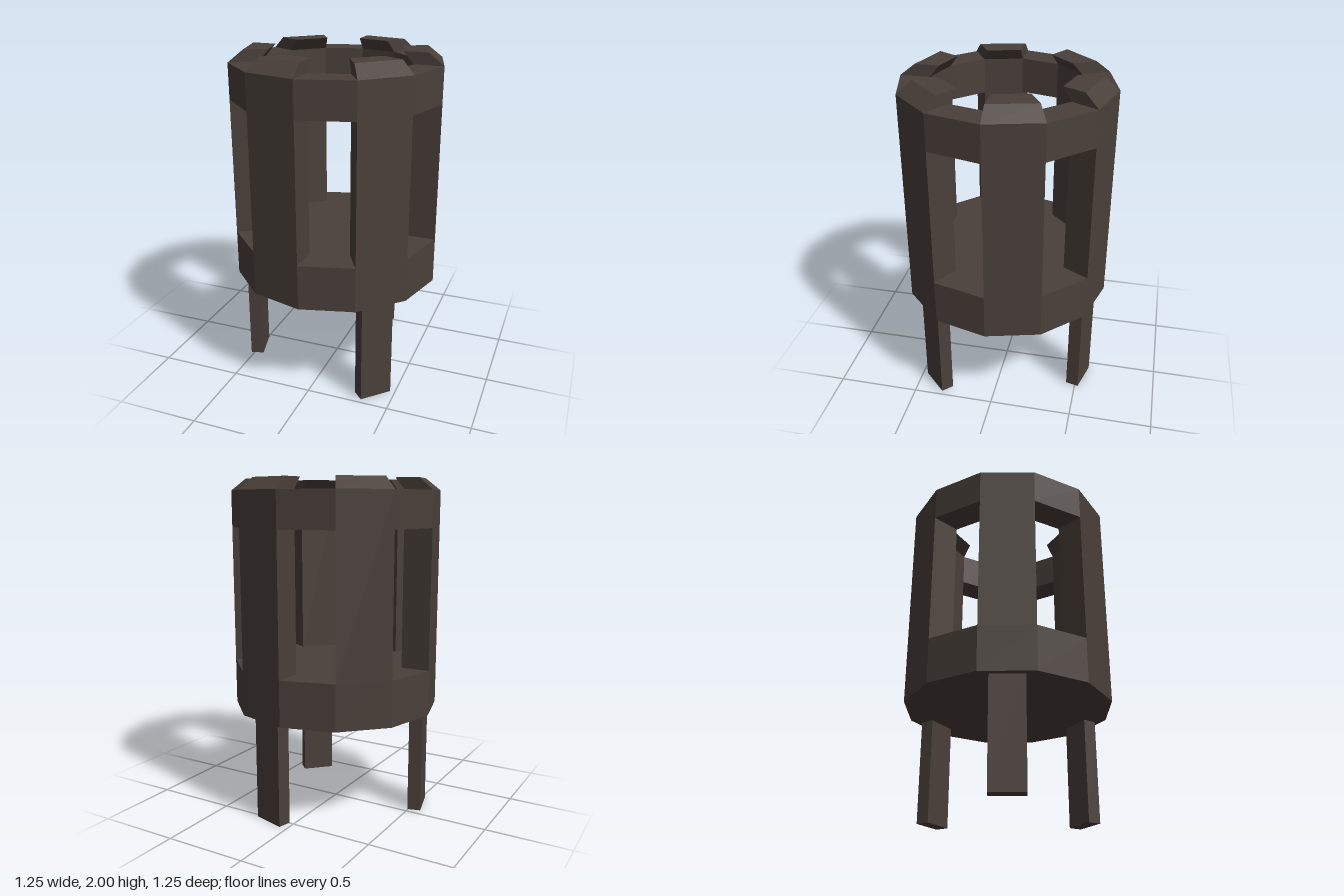
import * as THREE from 'three';

const SIDES = 12, STEP = (Math.PI * 2) / SIDES;
const R_OUT = 0.624, R_IN = 0.45;
const Y_BASE = 0.63, Y_FLOOR = 0.9, Y_LINTEL = 1.72, Y_RIM = 1.93, Y_TOP = 2;

const material = new THREE.MeshStandardMaterial({ color: 0x4a403a, flatShading: true });

// One facet of the ring: a counter-clockwise [radius, height] section swept over one side.
function facetGeometry(index, profile) {
  const at = (a, [r, y]) => [r * Math.cos(a), y, r * Math.sin(a)];
  const start = profile.map((p) => at(index * STEP, p));
  const end = profile.map((p) => at((index + 1) * STEP, p));
  const pos = [];
  const tri = (...corners) => corners.forEach((c) => pos.push(...c));
  for (let j = 0; j < profile.length; j++) {
    const k = (j + 1) % profile.length;
    tri(start[j], start[k], end[j]);
    tri(start[k], end[k], end[j]);
  }
  for (let j = 1; j < profile.length - 1; j++) {
    tri(start[0], start[j + 1], start[j]);
    tri(end[0], end[j], end[j + 1]);
  }
  const geometry = new THREE.BufferGeometry();
  geometry.setAttribute('position', new THREE.Float32BufferAttribute(pos, 3));
  geometry.computeVertexNormals();
  return geometry;
}

const wallSection = (y0, y1) => [[R_IN, y0], [R_OUT, y0], [R_OUT, y1], [R_IN, y1]];

export function createModel() {
  const model = new THREE.Group();
  model.name = 'tower';
  const add = (name, geometry) => {
    const mesh = new THREE.Mesh(geometry, material);
    mesh.name = name;
    model.add(mesh);
    return mesh;
  };

  // Solid base whose top is the floor, level with the window sills
  add('base', new THREE.CylinderGeometry(R_OUT, R_OUT, Y_FLOOR - Y_BASE, SIDES))
    .position.y = (Y_FLOOR + Y_BASE) / 2;

  // Open windows alternate with solid walls, each wall topped by an inward-leaning merlon
  const merlon = [[R_IN, Y_RIM], [R_OUT, Y_RIM], [0.535, Y_TOP], [0.39, Y_TOP]];
  for (let i = 0; i < SIDES; i++) {
    if (i % 2 === 0) {
      add('windowLintel', facetGeometry(i, wallSection(Y_LINTEL, Y_RIM)));
    } else {
      add('wallPanel', facetGeometry(i, wallSection(Y_FLOOR, Y_RIM)));
      add('merlon', facetGeometry(i, merlon));
    }
  }

  // Three flat legs under every other merlon
  for (let i = 0; i < 3; i++) {
    const a = Math.PI / 4 + (i * Math.PI * 2) / 3;
    const leg = add('leg', new THREE.BoxGeometry(0.08, Y_BASE, 0.2));
    leg.position.set(0.525 * Math.cos(a), Y_BASE / 2, 0.525 * Math.sin(a));
    leg.rotation.y = -a;
  }
  return model;
}
